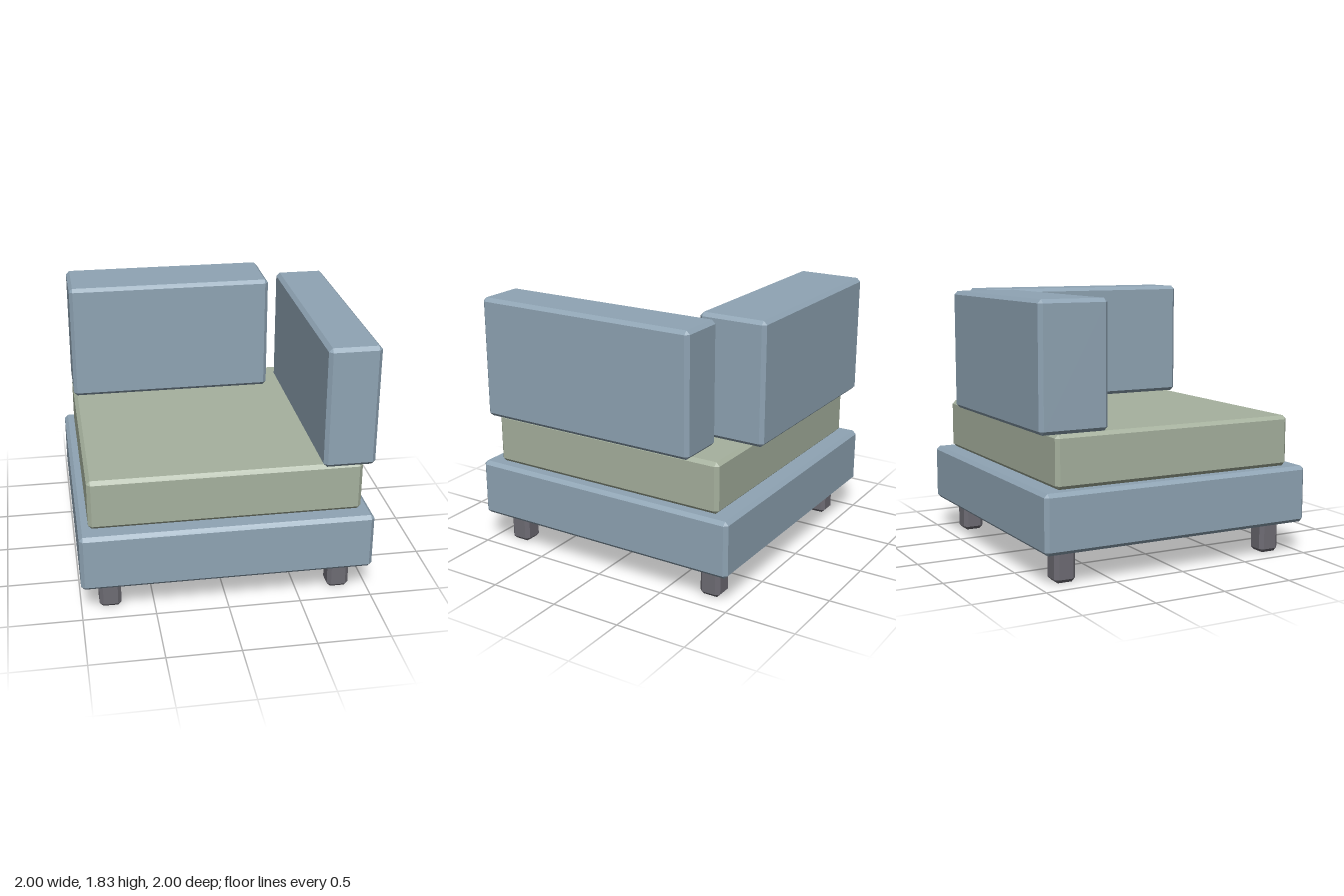
import * as THREE from 'three';
import { ConvexGeometry } from 'three/addons/geometries/ConvexGeometry.js';

const CHAMFER = 0.025;

// Box between two corners with every edge and corner cut flat
function chamferedBox(name, min, max, material) {
  const size = max.map((v, i) => v - min[i]);
  const points = [];
  for (const sx of [-1, 1]) for (const sy of [-1, 1]) for (const sz of [-1, 1]) {
    const signs = [sx, sy, sz];
    for (let axis = 0; axis < 3; axis++) {
      const p = signs.map((s, i) => s * (size[i] / 2 - (i === axis ? 0 : CHAMFER)));
      points.push(new THREE.Vector3(...p));
    }
  }
  const mesh = new THREE.Mesh(new ConvexGeometry(points), material);
  mesh.name = name;
  mesh.position.set(...min.map((v, i) => (v + max[i]) / 2));
  return mesh;
}

export function createModel() {
  const model = new THREE.Group();
  model.name = 'cornerSofaSection';

  const upholstery = new THREE.MeshStandardMaterial({ color: 0x8fa4b4, flatShading: true });
  const seatFabric = new THREE.MeshStandardMaterial({ color: 0xa6b19e, flatShading: true });
  const legFinish = new THREE.MeshStandardMaterial({ color: 0x6e6c74, flatShading: true });

  // Platform, seat, backrest and the arm on the model's left
  model.add(
    chamferedBox('base', [-1, 0.225, -1], [1, 0.625, 1], upholstery),
    chamferedBox('seatCushion', [-0.93, 0.625, -0.89], [0.93, 0.98, 0.89], seatFabric),
    chamferedBox('backrest', [-0.93, 0.98, -1], [0.55, 1.825, -0.515], upholstery),
    chamferedBox('armrest', [0.645, 0.98, -0.71], [1, 1.825, 0.93], upholstery)
  );

  // Four short legs
  const legs = new THREE.Group();
  legs.name = 'legs';
  for (const x of [-0.8, 0.8]) for (const z of [-0.8, 0.8]) {
    const name = (z > 0 ? 'front' : 'back') + (x > 0 ? 'Left' : 'Right') + 'Leg';
    legs.add(chamferedBox(name, [x - 0.075, 0, z - 0.075], [x + 0.075, 0.225, z + 0.075], legFinish));
  }
  model.add(legs);

  return model;
}
